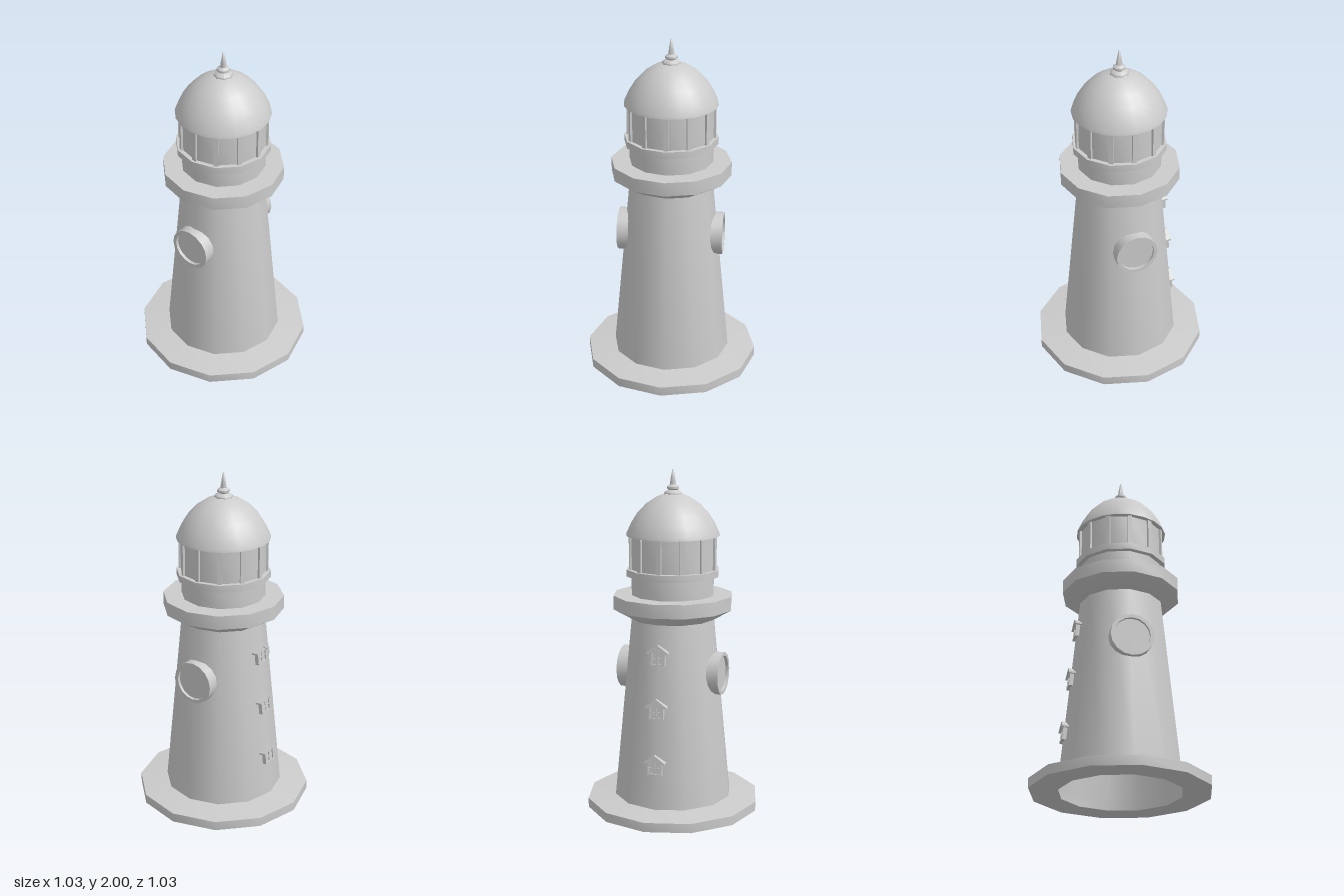
import * as THREE from 'three';
import { toCreasedNormals } from 'three/addons/utils/BufferGeometryUtils.js';

const grey = new THREE.MeshStandardMaterial({ color: 0xcccccc });
const greyDouble = new THREE.MeshStandardMaterial({ color: 0xcccccc, side: THREE.DoubleSide });

function addMesh(parent, name, geometry, material = grey) {
  const mesh = new THREE.Mesh(geometry, material);
  mesh.name = name;
  parent.add(mesh);
  return mesh;
}

// Revolved profile of [radius, height] pairs, listed from bottom to top
function turned(profile, sides, crease = 0.6) {
  const points = profile.map(([r, y]) => new THREE.Vector2(r, y));
  return toCreasedNormals(new THREE.LatheGeometry(points, sides), crease);
}

function polygon(points) {
  return new THREE.Shape(points.map(([x, y]) => new THREE.Vector2(x, y)));
}

function extrude(shape, depth) {
  return new THREE.ExtrudeGeometry(shape, { depth, bevelEnabled: false });
}

const towerRadius = (y) => 0.35 - (y - 0.07) * (0.105 / 1.07);

// Small framed window with cross bars and a gabled hood, facing +z
function createWindow() {
  const group = new THREE.Group();
  group.name = 'window';
  const frame = polygon([[-0.043, -0.06], [0.043, -0.06], [0.043, 0.02], [0, 0.045], [-0.043, 0.02]]);
  frame.holes.push(new THREE.Path([[-0.034, -0.051], [-0.034, 0.012], [0.034, 0.012], [0.034, -0.051]]
    .map(([x, y]) => new THREE.Vector2(x, y))));
  addMesh(group, 'windowFrame', extrude(frame, 0.045)).position.z = -0.03;
  addMesh(group, 'windowPane', new THREE.BoxGeometry(0.07, 0.066, 0.03)).position.set(0, -0.02, -0.008);
  addMesh(group, 'windowUpright', new THREE.BoxGeometry(0.006, 0.066, 0.03)).position.set(0, -0.02, -0.003);
  addMesh(group, 'windowCrossbar', new THREE.BoxGeometry(0.07, 0.006, 0.03)).position.set(0, -0.02, -0.003);
  const hood = polygon([[-0.062, 0.008], [-0.05, 0.008], [0, 0.042], [0.05, 0.008], [0.062, 0.008],
    [0.062, 0.018], [0, 0.06], [-0.062, 0.018]]);
  addMesh(group, 'windowHood', extrude(hood, 0.055)).position.z = -0.03;
  return group;
}

// Round side porthole with a recessed pane, its axis along +y before turning
function createPorthole(side) {
  const group = new THREE.Group();
  group.name = side > 0 ? 'leftPorthole' : 'rightPorthole';
  addMesh(group, 'portholeRim', turned(
    [[0.125, 0.2], [0.125, 0.31], [0.104, 0.31], [0.104, 0.292], [0, 0.292]], 16));
  group.rotation.z = -side * Math.PI / 2;
  group.position.y = 0.825;
  return group;
}

export function createModel() {
  const model = new THREE.Group();
  model.name = 'lighthouse';

  // Ground slab, open in the middle, and hollow tapering tower
  addMesh(model, 'base', turned(
    [[0.35, 0], [0.515, 0], [0.515, 0.055], [0.35, 0.072]], 12));
  addMesh(model, 'tower', turned([[0.352, 0], [0.35, 0.07], [0.245, 1.14]], 12), greyDouble);

  // Gallery flaring out from the tower top
  addMesh(model, 'gallery', turned(
    [[0, 1.14], [0.245, 1.14], [0.35, 1.2], [0.35, 1.28], [0, 1.28]], 12));

  // Lantern room
  addMesh(model, 'lanternDrum', turned([[0.243, 1.27], [0.243, 1.4]], 12));
  addMesh(model, 'lanternSill', turned(
    [[0.23, 1.39], [0.272, 1.39], [0.272, 1.43], [0.23, 1.43]], 12));
  addMesh(model, 'lanternGlass', turned([[0.247, 1.42], [0.247, 1.63]], 12));
  for (let i = 0; i < 12; i++) {
    const a = i * Math.PI / 6;
    const bar = addMesh(model, 'lanternBar', new THREE.BoxGeometry(0.026, 0.2, 0.022));
    bar.position.set(Math.sin(a) * 0.245, 1.525, Math.cos(a) * 0.245);
    bar.rotation.y = a;
  }

  // Dome and finial
  addMesh(model, 'dome', turned(
    [[0, 1.622], [0.27, 1.622], [0.266, 1.638], [0.24, 1.695], [0.205, 1.75],
      [0.155, 1.803], [0.1, 1.84], [0.05, 1.86], [0, 1.865]], 20, 0.8));
  addMesh(model, 'finialFoot', turned(
    [[0.05, 1.85], [0.055, 1.858], [0.05, 1.87], [0.024, 1.882]], 8, 0.9));
  addMesh(model, 'finialKnob', turned(
    [[0.024, 1.88], [0.036, 1.888], [0.036, 1.9], [0.018, 1.912]], 8, 0.9));
  addMesh(model, 'finialSpike', turned(
    [[0.02, 1.905], [0.015, 1.94], [0.005, 1.993], [0, 2]], 6, 1.1));

  // Portholes on both sides
  for (const side of [1, -1]) model.add(createPorthole(side));

  // Column of windows up the back, leaning with the wall
  for (const y of [0.335, 0.66, 0.97]) {
    const win = createWindow();
    win.position.set(0, y, -towerRadius(y) + 0.003);
    win.rotation.set(0.098, Math.PI, 0);
    model.add(win);
  }
  return model;
}
